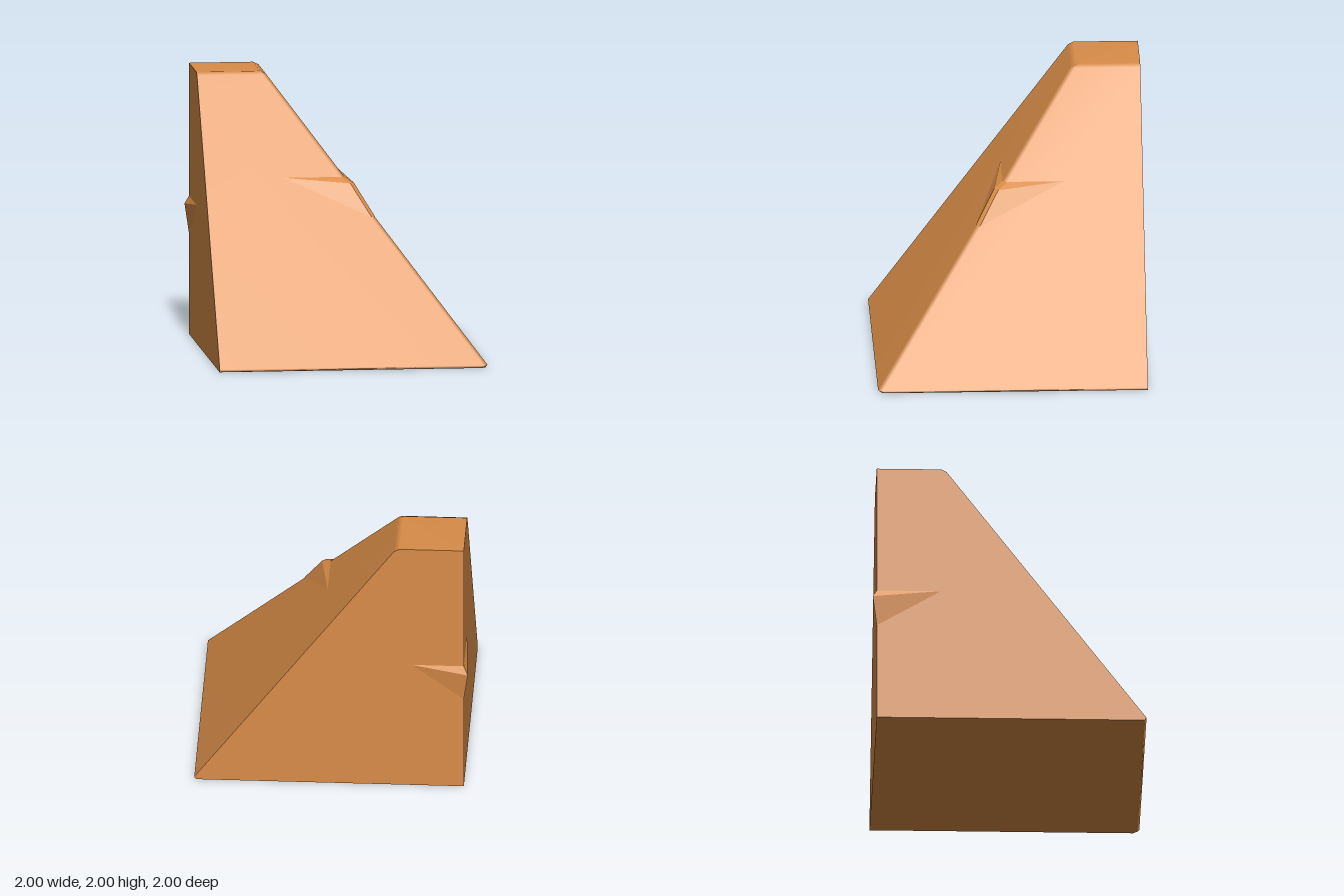
import * as THREE from 'three';

const stone = new THREE.MeshStandardMaterial({ color: 0xd88c48 });
stone.name = 'orange clay';

const BACK = -0.97; // plane of the two upright walls
const CHAMFER = 0.03; // width of the bevel on the sloping ridge

// Swap x and z: the model is symmetric about that diagonal
const swap = ([x, y, z]) => [z, y, x];

function meshFrom(name, points, index, flat) {
  let geo = new THREE.BufferGeometry();
  geo.setAttribute('position', new THREE.Float32BufferAttribute(points.flat(), 3));
  geo.setIndex(index);
  if (flat) geo = geo.toNonIndexed();
  geo.computeVertexNormals();
  const mesh = new THREE.Mesh(geo, stone);
  mesh.name = name;
  return mesh;
}

// Flat polygons, each a fan of corners in counter-clockwise order
function facets(name, polygons) {
  const points = [], index = [];
  for (const poly of polygons) {
    const s = points.length;
    points.push(...poly);
    for (let i = 1; i < poly.length - 1; i++) index.push(s, s + i, s + i + 1);
  }
  return meshFrom(name, points, index, true);
}

export function createModel() {
  const group = new THREE.Group();
  group.name = 'cornerPyramid';

  // Sloping sides, top and base: [height, reach of the slope]
  const levels = [[0, 0.985], [0.02, 1], [1.98, -0.46], [2, -0.5]];
  const rings = levels.map(([y, w]) => [
    [BACK, y, w], [w - CHAMFER, y, w], [w, y, w - CHAMFER], [w, y, BACK],
  ]);
  const points = [...rings.flat(), [BACK, 0, BACK], [BACK, 2, BACK]];
  const index = [];
  for (let l = 0; l < 3; l++) {
    for (let i = 0; i < 3; i++) {
      const a = l * 4 + i;
      index.push(a, a + 1, a + 5, a, a + 5, a + 4);
    }
  }
  for (let i = 0; i < 3; i++) {
    index.push(16, i + 1, i); // base
    index.push(17, 12 + i, 13 + i); // top
  }
  group.add(meshFrom('slopedBody', points, index, false));

  // Two upright walls meeting at the back corner
  const wall = [[BACK, 0, BACK], ...rings.map((r) => r[0]), [BACK, 2, BACK]];
  group.add(facets('sideWall', [wall]));
  group.add(facets('backWall', [wall.map(swap).reverse()]));

  // Chipped ledge on the sloping ridge
  const A = [0.025, 1.29, 0.055], B = [0.09, 1.25, 0.12], E = [0.23, 1.02, 0.258];
  const tip = [-0.39, 1.29, 0.055];
  const ledgeHalf = [[tip, B, A], [tip, E, B]];
  group.add(facets('ridgeLedge', [
    ...ledgeHalf,
    ...ledgeHalf.map((p) => p.map(swap).reverse()),
    [B, swap(B), swap(A), A],
    [E, swap(E), swap(B), B],
  ]));

  // Chipped ledge on the back corner
  const P = [BACK, 1.02, BACK], Q = [-1, 0.96, -1], R = [BACK, 0.74, BACK];
  const sideTip = [BACK, 1.02, -0.5], backTip = [-0.59, 1.02, BACK];
  group.add(facets('cornerLedge', [
    [P, Q, sideTip], [Q, R, sideTip],
    [P, backTip, Q], [Q, backTip, R],
  ]));

  return group;
}
